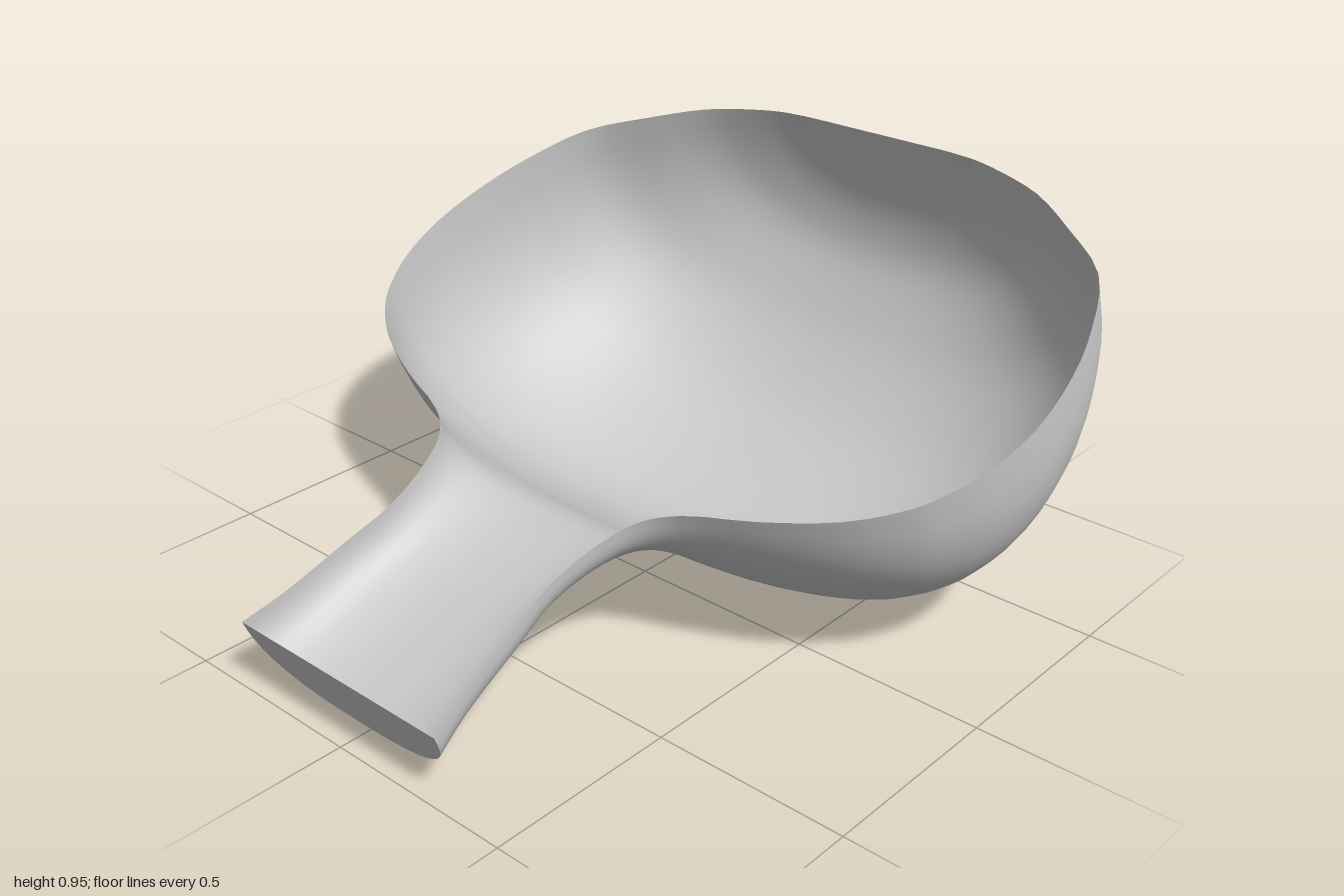
import * as THREE from 'three';

const EXPONENT = 2.6; // squareness of the U-shaped cross-section
const SIDES = 36;

// Stations from the back wall to the spout tip: half width, depth, distance along the rim plane
const STATIONS = new THREE.CatmullRomCurve3([
  [0.22, 0, -0.992], [0.26, 0.15, -0.99], [0.32, 0.23, -0.985], [0.41, 0.31, -0.965],
  [0.54, 0.40, -0.92], [0.68, 0.49, -0.83], [0.83, 0.58, -0.71], [0.91, 0.66, -0.54],
  [0.95, 0.69, -0.39], [0.965, 0.69, -0.21], [0.94, 0.655, -0.06], [0.895, 0.593, 0.043],
  [0.85, 0.53, 0.11], [0.74, 0.415, 0.205], [0.57, 0.285, 0.29], [0.40, 0.215, 0.355],
  [0.33, 0.185, 0.41], [0.29, 0.155, 0.495], [0.265, 0.137, 0.646], [0.28, 0.14, 0.786],
  [0.30, 0.15, 0.97], [0.325, 0.16, 1.079],
].map((p) => new THREE.Vector3(...p)));

// Superelliptic U from the left rim, under the bottom, to the right rim
function section(width, depth) {
  const points = [];
  for (let j = 0; j <= SIDES; j++) {
    const a = (j / SIDES) * Math.PI;
    const c = Math.cos(a);
    const x = width * Math.sign(c) * Math.abs(c) ** (2 / EXPONENT);
    const y = -depth * Math.max(0, Math.sin(a)) ** (2 / EXPONENT);
    points.push(new THREE.Vector2(x, y));
  }
  return points;
}

// Open skin lofted through the stations
function shellGeometry() {
  const steps = (STATIONS.points.length - 1) * 3;
  const positions = [];
  const index = [];
  for (let i = 0; i <= steps; i++) {
    const s = STATIONS.getPoint(i / steps);
    for (const p of section(s.x, s.y)) positions.push(p.x, p.y, s.z);
  }
  const row = SIDES + 1;
  for (let i = 0; i < steps; i++) {
    for (let j = 0; j < SIDES; j++) {
      const a = i * row + j;
      index.push(a, a + row, a + 1, a + 1, a + row, a + row + 1);
    }
  }
  const geometry = new THREE.BufferGeometry();
  geometry.setAttribute('position', new THREE.Float32BufferAttribute(positions, 3));
  geometry.setIndex(index);
  geometry.computeVertexNormals();
  return geometry;
}

export function createModel() {
  const material = new THREE.MeshStandardMaterial({ color: 0xcccccc, side: THREE.DoubleSide });

  // Bowl and open channel in one thin skin
  const shell = new THREE.Mesh(shellGeometry(), material);
  shell.name = 'bowlAndSpout';

  // Flat wall closing the tip of the channel
  const tip = STATIONS.getPoint(1);
  const endWall = new THREE.Mesh(new THREE.ShapeGeometry(new THREE.Shape(section(tip.x, tip.y))), material);
  endWall.name = 'spoutEndWall';
  endWall.position.z = tip.z;

  // The rim plane slopes down towards the front
  const scoop = new THREE.Group();
  scoop.name = 'scoop';
  scoop.add(shell, endWall);
  scoop.rotation.x = 0.38;
  scoop.position.y = 0.587;

  const model = new THREE.Group();
  model.name = 'model';
  model.add(scoop);
  return model;
}
